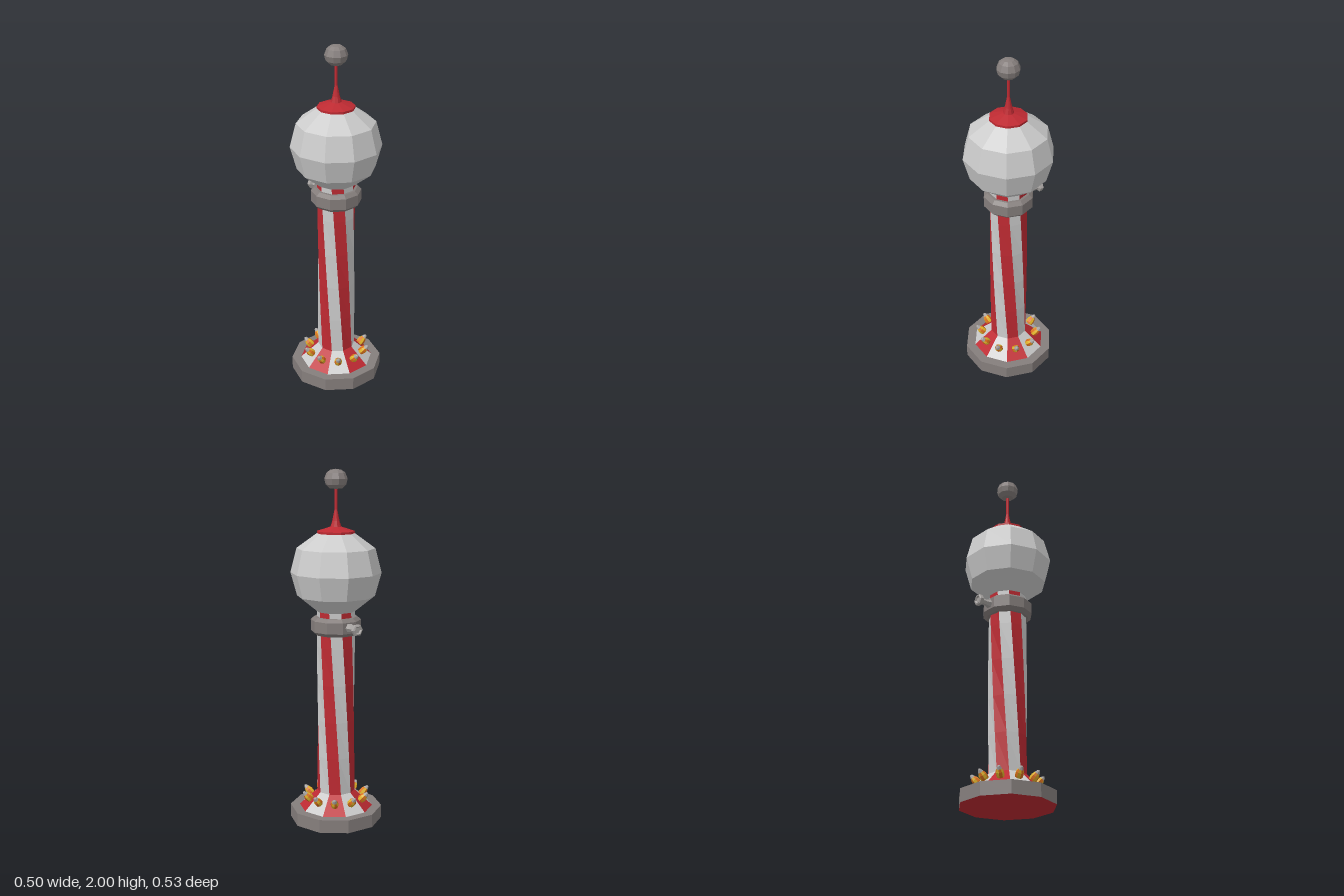
import * as THREE from 'three';
import { mergeGeometries } from 'three/addons/utils/BufferGeometryUtils.js';

const SIDES = 10;
const STEP = (Math.PI * 2) / SIDES;

const paint = (color) => new THREE.MeshStandardMaterial({ color, flatShading: true });
const white = paint(0xcccccc);
const red = paint(0xbe2a32);
const metal = paint(0x857e7c);
const paleMetal = paint(0xa8a4a2);
const orange = paint(0xd9701c);
const yellow = paint(0xe2b52c);

const toPoints = (profile) => profile.map(([r, y]) => new THREE.Vector2(r, y));

// Faceted solid of revolution from [radius, height] pairs, bottom to top
function turned(name, profile, material, sides = SIDES) {
  const mesh = new THREE.Mesh(new THREE.LatheGeometry(toPoints(profile), sides), material);
  mesh.name = name;
  return mesh;
}

// Every second sector of a turned profile, merged; first = 0 or 1
function sectors(name, profile, material, first, sides = SIDES) {
  const step = (Math.PI * 2) / sides;
  const parts = [];
  for (let k = first; k < sides; k += 2) {
    parts.push(new THREE.LatheGeometry(toPoints(profile), 1, k * step, step));
  }
  const mesh = new THREE.Mesh(mergeGeometries(parts), material);
  mesh.name = name;
  return mesh;
}

// Turn vertices about y steadily from height y0 to y1
function twist(mesh, y0, y1, angle) {
  const pos = mesh.geometry.attributes.position;
  const v = new THREE.Vector3();
  const up = new THREE.Vector3(0, 1, 0);
  for (let i = 0; i < pos.count; i++) {
    v.fromBufferAttribute(pos, i);
    v.applyAxisAngle(up, angle * THREE.MathUtils.clamp((v.y - y0) / (y1 - y0), 0, 1));
    pos.setXYZ(i, v.x, v.y, v.z);
  }
  mesh.geometry.computeVertexNormals();
  return mesh;
}

// Small striped lamp with a metal tip, pointing along +y
function makeBulb() {
  const bulb = new THREE.Group();
  bulb.name = 'bulb';
  const body = [[0.018, -0.012], [0.023, 0.012], [0.022, 0.03], [0.015, 0.046]];
  bulb.add(
    sectors('bulbOrangeStripes', body, orange, 0, 8),
    sectors('bulbYellowStripes', body, yellow, 1, 8),
    turned('bulbTip', [[0.015, 0.046], [0.008, 0.062], [0, 0.067]], paleMetal, 8)
  );
  return bulb;
}

export function createModel() {
  const model = new THREE.Group();
  model.name = 'stripedLampPost';

  // Foot plate with red underside
  model.add(
    turned('baseUnderside', [[0, 0], [0.263, 0]], red),
    turned('base', [[0.263, 0], [0.263, 0.075], [0, 0.075]], metal)
  );

  // Flared skirt and twisted striped pole
  const pole = [[0.21, 0.075], [0.107, 0.17]];
  for (let i = 1; i <= 5; i++) pole.push([0.107, 0.17 + i * 0.212]);
  [['poleRedStripes', red, 0], ['poleWhiteStripes', white, 1]].forEach(([name, mat, first]) => {
    model.add(twist(sectors(name, pole, mat, first), 0.17, 1.22, -STEP));
  });

  // Ring of bulbs, one on each skirt face
  const bulbs = new THREE.Group();
  bulbs.name = 'bulbRing';
  for (let k = 0; k < SIDES; k++) {
    const arm = new THREE.Group();
    arm.name = 'bulbMount';
    arm.rotation.y = (k + 0.5) * STEP;
    const bulb = makeBulb();
    bulb.position.set(0, 0.122, 0.15);
    bulb.rotation.x = 0.75;
    arm.add(bulb);
    bulbs.add(arm);
  }
  model.add(bulbs);

  // Collar and its side knob
  model.add(turned('collar', [
    [0.1, 1.09], [0.12, 1.09], [0.141, 1.11], [0.141, 1.172], [0.12, 1.19], [0.1, 1.19]
  ], metal));
  const knob = turned('collarKnob', [
    [0.03, 0.12], [0.018, 0.16], [0.018, 0.19], [0.033, 0.197], [0.033, 0.216],
    [0.024, 0.22], [0.016, 0.212], [0, 0.212]
  ], paleMetal, 6);
  knob.rotation.z = Math.PI / 2;
  knob.position.y = 1.143;
  model.add(knob);

  // Globe
  model.add(turned('globe', [
    [0, 1.22], [0.11, 1.22], [0.217, 1.305], [0.253, 1.435], [0.218, 1.57], [0.105, 1.652], [0, 1.655]
  ], white));

  // Red cap and spire
  model.add(turned('capAndSpire', [
    [0.1, 1.648], [0.105, 1.652], [0.105, 1.664], [0.03, 1.688], [0.02, 1.72], [0.008, 1.78], [0.008, 1.9]
  ], red));

  // Ball finial
  model.add(turned('finial', [
    [0, 1.892], [0.034, 1.895], [0.056, 1.916], [0.064, 1.947], [0.051, 1.98], [0.03, 1.995], [0, 2]
  ], metal));

  return model;
}
